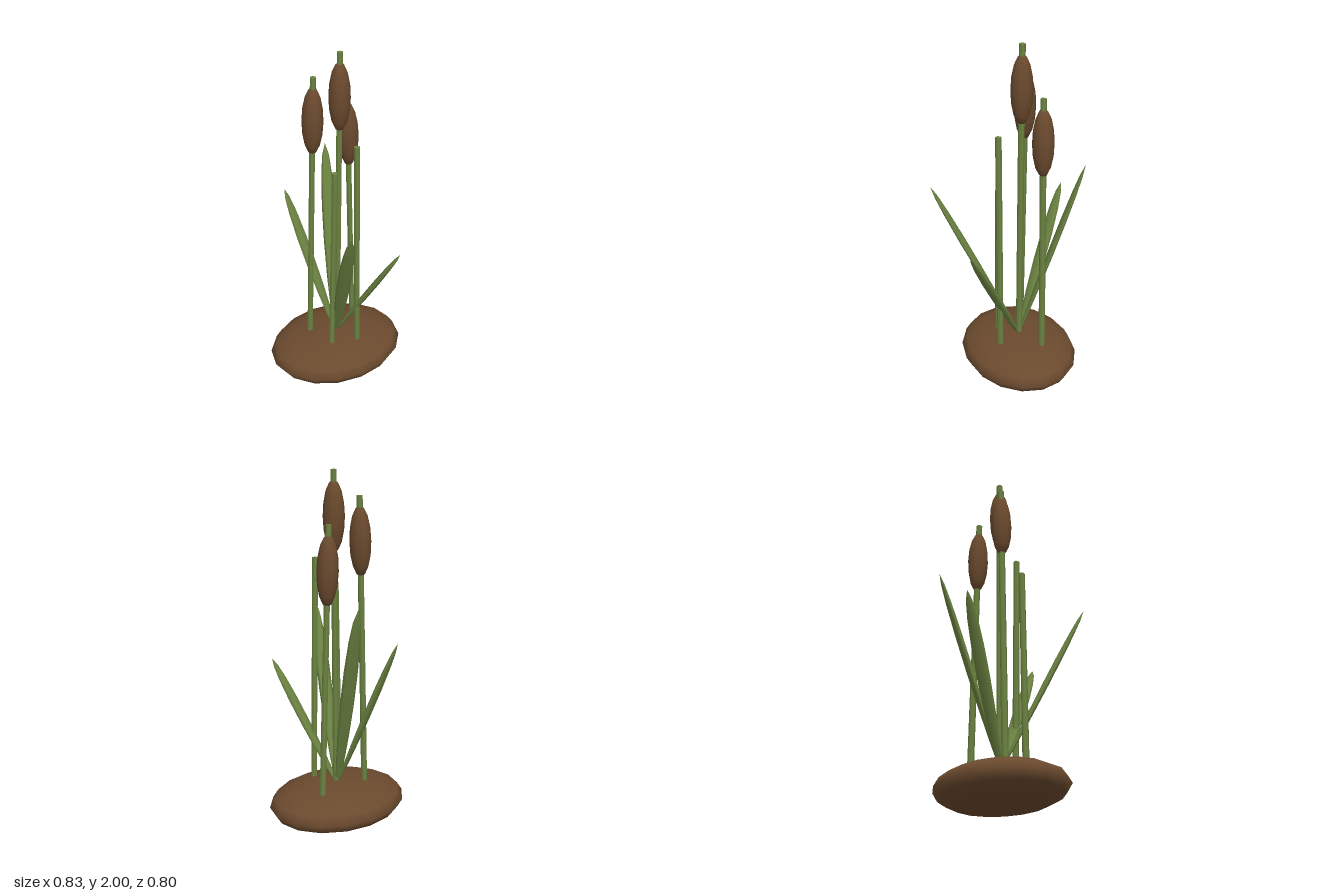
import * as THREE from 'three';

const green = new THREE.MeshStandardMaterial({ color: 0x6c8442 });
green.name = 'reedGreen';
const brown = new THREE.MeshStandardMaterial({ color: 0x6b4a2e });
brown.name = 'earthBrown';

const UP = new THREE.Vector3(0, 1, 0);

// Slim hexagonal stalk leaning from foot to top, with an optional seed head near the tip
function makeReed(name, foot, top, hasHead) {
  const a = new THREE.Vector3(...foot), b = new THREE.Vector3(...top);
  const length = a.distanceTo(b);
  const reed = new THREE.Group();
  reed.name = name;
  reed.position.copy(a);
  reed.quaternion.setFromUnitVectors(UP, b.clone().sub(a).normalize());

  const stalkGeo = new THREE.CylinderGeometry(0.0175, 0.0185, length, 6, 1, false, Math.PI / 6);
  stalkGeo.translate(0, length / 2, 0);
  const stalk = new THREE.Mesh(stalkGeo, green);
  stalk.name = 'stalk';
  reed.add(stalk);

  if (hasHead) {
    const headGeo = new THREE.SphereGeometry(1, 10, 8);
    headGeo.scale(0.058, 0.191, 0.06);
    headGeo.translate(0, length - 0.243, 0);
    const head = new THREE.Mesh(headGeo, brown);
    head.name = 'seedHead';
    reed.add(head);
  }
  return reed;
}

// Flattened blade that swells past the middle and closes to a point
function makeLeaf(name, tip) {
  const a = new THREE.Vector3(0, 0.22, -0.06), b = new THREE.Vector3(...tip);
  const length = a.distanceTo(b);
  const profile = [[0, 0], [0.012, 0.01], [0.023, 0.12], [0.034, 0.3], [0.04, 0.5],
    [0.0395, 0.68], [0.032, 0.84], [0.02, 0.94], [0, 1]];
  const geo = new THREE.LatheGeometry(profile.map(([r, t]) => new THREE.Vector2(r, t * length)), 8);
  geo.scale(1, 1, 0.42);

  const along = b.clone().sub(a).normalize();
  const across = new THREE.Vector3().crossVectors(UP, along).normalize();
  const out = new THREE.Vector3().crossVectors(across, along);
  const leaf = new THREE.Mesh(geo, green);
  leaf.name = name;
  leaf.quaternion.setFromRotationMatrix(new THREE.Matrix4().makeBasis(across, along, out));
  leaf.position.copy(a);
  return leaf;
}

export function createModel() {
  const model = new THREE.Group();
  model.name = 'reedClump';

  // Low oval mound of earth
  const moundGeo = new THREE.SphereGeometry(1, 16, 8);
  moundGeo.scale(0.414, 0.123, 0.331);
  const mound = new THREE.Mesh(moundGeo, brown);
  mound.name = 'mound';
  mound.position.set(0, 0.126, -0.06);
  model.add(mound);

  // Tall reeds with seed heads, then the bare stalks
  model.add(
    makeReed('tallReed', [0.01, 0.2, -0.06], [0.031, 2, -0.06], true),
    makeReed('rightReed', [-0.142, 0.2, -0.13], [-0.088, 1.865, -0.13], true),
    makeReed('leftReed', [0.165, 0.2, -0.143], [0.122, 1.73, -0.143], true),
    makeReed('rightBareStalk', [-0.085, 0.2, 0.039], [-0.058, 1.38, 0.039], false),
    makeReed('leftBareStalk', [0.068, 0.2, 0.08], [0.052, 1.525, 0.08], false)
  );

  // Leaves fanning out from the middle of the mound
  model.add(
    makeLeaf('frontRightLeaf', [-0.168, 1.2, 0.4]),
    makeLeaf('frontLeftLeaf', [0.205, 0.925, 0.3]),
    makeLeaf('backLeftLeaf', [0.125, 1.325, -0.4]),
    makeLeaf('backRightLeaf', [-0.155, 1.105, -0.385])
  );
  return model;
}
